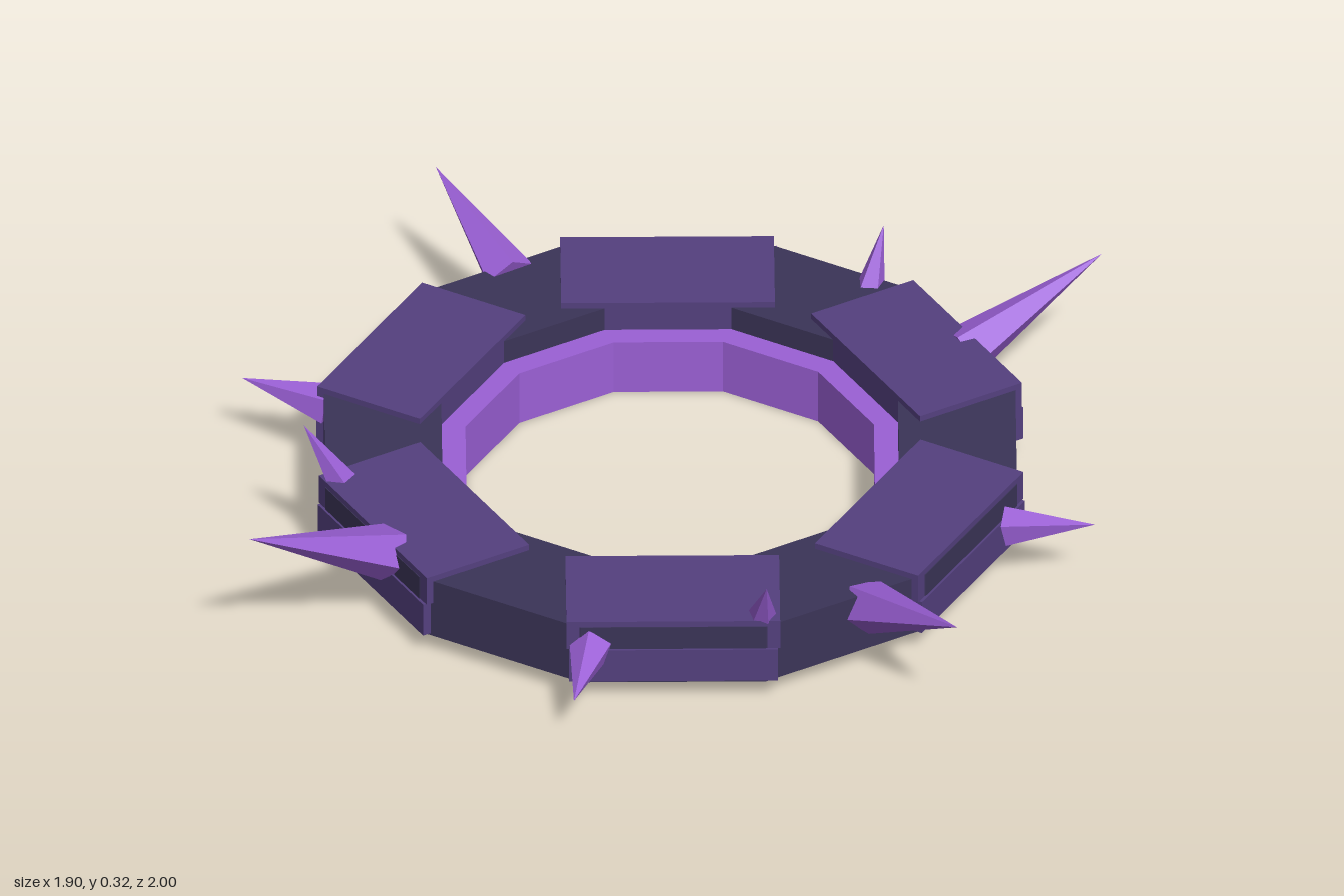
import * as THREE from 'three';

const mat = (name, color) => {
  const m = new THREE.MeshStandardMaterial({ color, flatShading: true });
  m.name = name;
  return m;
};

export function createModel() {
  const stone = mat('dark slate', 0x3b3458);
  const plate = mat('violet slate', 0x54407f);
  const crystal = mat('bright purple', 0x9b60d6);
  const gold = mat('gold', 0xc0901f);

  const model = new THREE.Group();
  model.name = 'spikedRing';
  const ring = new THREE.Group();
  ring.name = 'ring';
  ring.position.set(-0.03, 0, -0.025);
  model.add(ring);

  // Twelve-sided flat ring between two radii and two heights
  const polygon = (r) => Array.from({ length: 12 }, (_, i) => {
    const a = i * Math.PI / 6;
    return new THREE.Vector2(r * Math.cos(a), r * Math.sin(a));
  });
  const addRing = (name, inner, outer, y0, y1, material) => {
    const shape = new THREE.Shape(polygon(outer));
    shape.holes.push(new THREE.Path(polygon(inner)));
    const geo = new THREE.ExtrudeGeometry(shape, { depth: y1 - y0, bevelEnabled: false });
    geo.rotateX(-Math.PI / 2).translate(0, y0, 0);
    const mesh = new THREE.Mesh(geo, material);
    mesh.name = name;
    ring.add(mesh);
  };
  addRing('stoneRing', 0.475, 0.72, 0.04, 0.172, stone);
  addRing('innerBand', 0.425, 0.51, 0, 0.12, crystal);

  const addBox = (parent, name, material, w, h, d, x, y, z) => {
    const mesh = new THREE.Mesh(new THREE.BoxGeometry(w, h, d), material);
    mesh.position.set(x, y, z);
    mesh.name = name;
    parent.add(mesh);
  };

  // Abstract marks under each segment: bars as [width, depth, x, z]
  const marks = [
    [[0.12, 0.02, 0, 0.04], [0.02, 0.10, 0, -0.01], [0.05, 0.02, 0.02, -0.05]],
    [[0.02, 0.09, -0.05, 0], [0.02, 0.09, 0.05, 0], [0.1, 0.02, 0, 0]],
    [[0.02, 0.11, 0, 0], [0.10, 0.02, 0, -0.045], [0.05, 0.02, -0.02, 0.045]],
  ];

  for (let i = 0; i < 12; i++) {
    const segment = new THREE.Group();
    segment.name = 'segment';
    segment.rotation.y = (15 + 30 * i) * Math.PI / 180;
    ring.add(segment);
    // Wide armour block on every other segment
    if (i % 2) {
      addBox(segment, 'lowerBlock', plate, 0.42, 0.075, 0.242, 0, 0.0825, 0.579);
      addBox(segment, 'topPlate', plate, 0.43, 0.065, 0.238, 0, 0.1525, 0.575);
    }
    for (const [w, d, x, z] of marks[i % 3]) {
      addBox(segment, 'underMark', gold, w, 0.009, d, x, 0.036, 0.6 + z);
    }
  }

  // Crystal spikes: base, tip, base radius
  const spikes = [
    [[0.15, 0.14, -0.68], [0.23, 0.265, -1.0], 0.058],
    [[0.63, 0.12, -0.32], [0.79, 0.155, -0.41], 0.042],
    [[-0.68, 0.15, -0.225], [-0.95, 0.26, -0.29], 0.055],
    [[-0.39, 0.10, -0.63], [-0.46, 0.07, -0.77], 0.045],
    [[0.64, 0.13, 0.095], [0.95, 0.25, 0.15], 0.058],
    [[-0.64, 0.13, 0.335], [-0.80, 0.16, 0.42], 0.045],
    [[0.34, 0.12, 0.58], [0.43, 0.10, 0.72], 0.045],
    [[-0.16, 0.15, 0.65], [-0.21, 0.325, 1.0], 0.06],
    [[-0.125, 0.14, -0.69], [-0.14, 0.28, -0.75], 0.035],
    [[-0.38, 0.15, 0.55], [-0.43, 0.315, 0.62], 0.037],
    [[0.555, 0.15, 0.31], [0.62, 0.288, 0.36], 0.037],
  ];
  const up = new THREE.Vector3(0, 1, 0);
  for (const [b, t, r] of spikes) {
    const base = new THREE.Vector3(...b);
    const axis = new THREE.Vector3(...t).sub(base);
    const len = axis.length();
    const geo = new THREE.ConeGeometry(r, len, 5).translate(0, len / 2, 0);
    const spike = new THREE.Mesh(geo, crystal);
    spike.position.copy(base);
    spike.quaternion.setFromUnitVectors(up, axis.normalize());
    spike.name = 'spike';
    model.add(spike);
  }
  return model;
}
